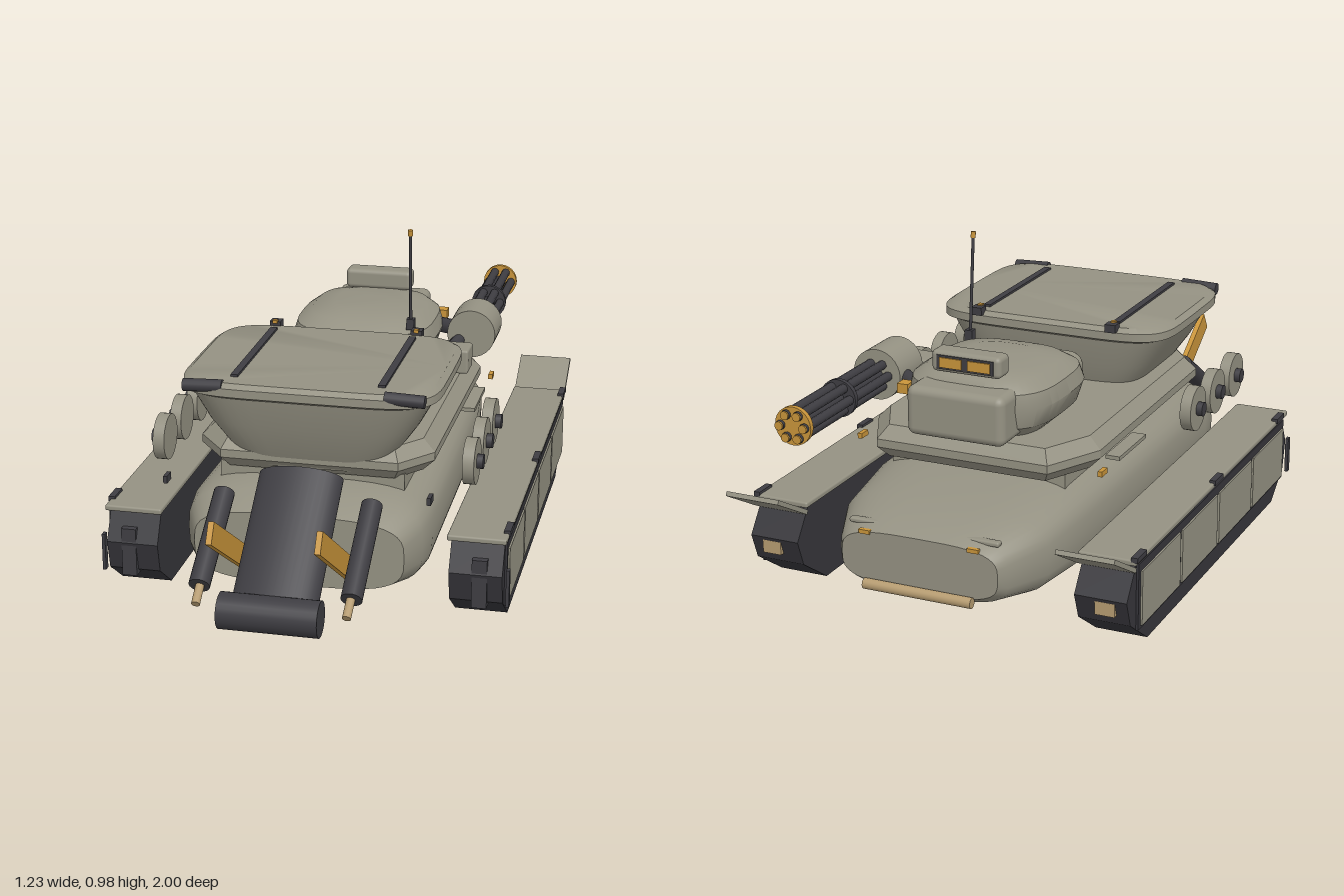
import * as THREE from 'three';
import { toCreasedNormals } from 'three/addons/utils/BufferGeometryUtils.js';
import { RoundedBoxGeometry } from 'three/addons/geometries/RoundedBoxGeometry.js';

const paint = (name, color) => {
  const m = new THREE.MeshStandardMaterial({ color });
  m.name = name;
  return m;
};

// Superellipse loft along z; rows are [z, halfWidth, halfHeight, centreY]
function loft(rows, power, sides = 40) {
  const pos = [], idx = [];
  const bend = v => Math.sign(v) * Math.abs(v) ** (2 / power);
  for (const [z, a, b, c] of rows)
    for (let j = 0; j < sides; j++) {
      const t = (j / sides) * Math.PI * 2;
      pos.push(a * bend(Math.cos(t)), c + b * bend(Math.sin(t)), z);
    }
  for (let i = 0; i < rows.length - 1; i++)
    for (let j = 0; j < sides; j++) {
      const k = (j + 1) % sides, p = i * sides, q = p + sides;
      idx.push(p + j, p + k, q + k, p + j, q + k, q + j);
    }
  const last = (rows.length - 1) * sides;
  for (let j = 1; j < sides - 1; j++) {
    idx.push(0, j + 1, j);
    idx.push(last, last + j, last + j + 1);
  }
  const g = new THREE.BufferGeometry();
  g.setAttribute('position', new THREE.Float32BufferAttribute(pos, 3));
  g.setIndex(idx);
  return toCreasedNormals(g, 0.6);
}

export function createModel() {
  const group = new THREE.Group();
  const hullGrey = paint('hullGrey', 0x949182);
  const dark = paint('darkMetal', 0x3e3d42);
  const trackBlack = paint('trackBlack', 0x36353a);
  const gold = paint('gold', 0xc8943a);
  const tan = paint('tanMetal', 0xb59b70);

  const add = (name, geo, mat, x = 0, y = 0, z = 0) => {
    const m = new THREE.Mesh(geo, mat);
    m.name = name;
    m.position.set(x, y, z);
    group.add(m);
    return m;
  };
  const box = (name, mat, w, h, d, x, y, z) => add(name, new THREE.BoxGeometry(w, h, d), mat, x, y, z);
  const rounded = (name, mat, w, h, d, r, x, y, z) => add(name, new RoundedBoxGeometry(w, h, d, 3, r), mat, x, y, z);
  // Cylinder or bar running from point a to point b
  const between = (name, geoFor, mat, a, b) => {
    const A = new THREE.Vector3(...a), B = new THREE.Vector3(...b), dir = B.clone().sub(A);
    const m = add(name, geoFor(dir.length()), mat);
    m.position.copy(A).add(B).multiplyScalar(0.5);
    m.quaternion.setFromUnitVectors(new THREE.Vector3(0, 1, 0), dir.normalize());
    return m;
  };
  const rod = (name, r, mat, a, b, sides = 20) =>
    between(name, l => new THREE.CylinderGeometry(r, r, l, sides), mat, a, b);

  // Hull
  add('hull', loft([
    [-0.91, 0.245, 0.08, 0.21], [-0.88, 0.265, 0.1, 0.21], [-0.74, 0.325, 0.13, 0.215],
    [-0.5, 0.353, 0.151, 0.223], [0.43, 0.367, 0.153, 0.223], [0.52, 0.355, 0.142, 0.222], [0.6, 0.315, 0.11, 0.21],
  ], 3.4), hullGrey);
  rounded('noseStrip', hullGrey, 0.47, 0.015, 0.025, 0.006, 0, 0.3, -0.87);
  rod('towBar', 0.016, tan, [-0.17, 0.13, -0.92], [0.17, 0.13, -0.92]);

  // Upper deck with bevelled edge
  const deck = new THREE.Shape([
    [-0.25, -0.43], [0.25, -0.43], [0.32, -0.34], [0.325, 0.45], [0.25, 0.6], [-0.25, 0.6], [-0.325, 0.45], [-0.32, -0.34],
  ].map(p => new THREE.Vector2(...p)));
  add('upperDeck', new THREE.ExtrudeGeometry(deck, {
    depth: 0.025, bevelThickness: 0.037, bevelSize: 0.037, bevelSegments: 1,
  }).rotateX(-Math.PI / 2), hullGrey, 0, 0.43, 0);
  box('deckBase', hullGrey, 0.56, 0.06, 0.95, 0, 0.375, -0.05);

  // Hopper with flared sides and closed lid
  add('hopper', loft([
    [0.41, 0.21, 0.205, -0.245], [0.45, 0.245, 0.225, -0.245], [0.55, 0.315, 0.265, -0.248], [0.64, 0.365, 0.285, -0.25],
    [0.65, 0.388, 0.303, -0.25], [0.675, 0.388, 0.303, -0.25], [0.688, 0.37, 0.287, -0.25],
  ], 5.5, 56).rotateX(-Math.PI / 2), hullGrey);

  // Turret
  add('turret', loft([
    [0.49, 0.17, 0.18, 0.385], [0.53, 0.215, 0.225, 0.385], [0.59, 0.235, 0.235, 0.385],
    [0.635, 0.222, 0.225, 0.39], [0.665, 0.18, 0.19, 0.4], [0.68, 0.11, 0.13, 0.41],
  ], 3.2).rotateX(-Math.PI / 2), hullGrey);
  rounded('turretBustle', hullGrey, 0.35, 0.12, 0.2, 0.045, 0, 0.575, -0.215);
  rounded('turretFace', hullGrey, 0.31, 0.15, 0.2, 0.025, 0, 0.575, -0.58);
  rounded('sensorHousing', hullGrey, 0.22, 0.065, 0.07, 0.015, 0, 0.708, -0.565);
  box('sensorRecess', dark, 0.18, 0.042, 0.006, 0, 0.708, -0.6);
  for (const s of [-1, 1]) box('sensorWindow', gold, 0.07, 0.03, 0.006, s * 0.045, 0.708, -0.604);

  // Antenna
  box('antennaBase', dark, 0.025, 0.035, 0.025, 0.172, 0.665, -0.215);
  rod('antenna', 0.005, dark, [0.172, 0.67, -0.213], [0.174, 0.965, -0.182], 8);
  rod('antennaTip', 0.008, gold, [0.174, 0.963, -0.182], [0.174, 0.982, -0.18], 8);

  // Rotary gun
  const gx = 0.345, gy = 0.6;
  rod('gunDrum', 0.078, hullGrey, [gx, gy, -0.35], [gx, gy, -0.495], 28);
  for (let i = 0; i < 6; i++) {
    const a = (i / 6) * Math.PI * 2, x = gx + Math.cos(a) * 0.038, y = gy + Math.sin(a) * 0.038;
    rod('gunBarrel', 0.014, dark, [x, y, -0.49], [x, y, -0.995], 10);
    rod('gunMuzzle', 0.013, gold, [x, y, -0.994], [x, y, -1], 10);
  }
  rod('gunSpindle', 0.02, dark, [gx, gy, -0.49], [gx, gy, -0.98], 12);
  rod('gunCollar', 0.057, dark, [gx, gy, -0.715], [gx, gy, -0.73], 24);
  rod('gunMuzzleRing', 0.057, gold, [gx, gy, -0.97], [gx, gy, -0.985], 24);
  rod('gunMount', 0.025, dark, [0.19, 0.58, -0.51], [0.3, 0.59, -0.43], 12);
  box('gunMountLight', gold, 0.035, 0.03, 0.04, 0.215, 0.6, -0.56);
  rounded('ammunitionBox', hullGrey, 0.095, 0.078, 0.095, 0.008, 0.313, 0.552, -0.247);
  rod('ammunitionFeed', 0.02, dark, [0.28, 0.56, -0.28], [0.31, 0.58, -0.37], 10);

  // Front boom and its cross roller
  const boom = between('boom', l => new THREE.CylinderGeometry(0.125, 0.125, l, 36).scale(1, 1, 0.44), dark,
    [0, 0.13, 0.92], [0, 0.425, 0.55]);
  boom.name = 'boom';
  rod('boomRoller', 0.053, dark, [-0.145, 0.157, 0.93], [0.145, 0.157, 0.93], 24);

  // Track outline, drawn as (-z, y)
  const trackShape = new THREE.Shape([
    [-0.44, 0], [0.67, 0], [0.8, 0.09], [0.83, 0.17], [0.76, 0.265], [-0.52, 0.265], [-0.57, 0.17], [-0.55, 0.08],
  ].map(p => new THREE.Vector2(...p)));
  const trackGeo = new THREE.ExtrudeGeometry(trackShape, { depth: 0.157, bevelEnabled: false }).rotateY(Math.PI / 2);

  for (const s of [-1, 1]) {
    // Tracks, fenders and side skirts
    add('track', trackGeo, trackBlack, s > 0 ? 0.44 : -0.597);
    rounded('fender', hullGrey, 0.175, 0.018, 1.34, 0.006, s * 0.518, 0.272, -0.115);
    between('rearFlap', l => new THREE.BoxGeometry(0.173, l, 0.014), hullGrey,
      [s * 0.518, 0.25, -0.78], [s * 0.518, 0.34, -0.94]);
    box('skirtFrame', trackBlack, 0.008, 0.2, 1.28, s * 0.6, 0.16, -0.12);
    for (let i = 0; i < 4; i++)
      box('skirtPanel', hullGrey, 0.009, 0.165, 0.3, s * 0.605, 0.152, 0.355 - i * 0.316);
    for (const z of [0.47, -0.12, -0.75]) box('fenderHinge', dark, 0.02, 0.016, 0.07, s * 0.6, 0.281, z);
    box('mudGuardBar', dark, 0.01, 0.115, 0.02, s * 0.612, 0.13, 0.55);
    box('trackTensioner', dark, 0.045, 0.15, 0.04, s * 0.53, 0.14, 0.548);
    box('trackRearBlock', tan, 0.06, 0.04, 0.03, s * 0.53, 0.14, -0.812);

    // Spare road wheels
    for (const z of [0.37, 0.195, 0.02]) {
      rod('wheel', 0.07, hullGrey, [s * 0.452, 0.445, z], [s * 0.487, 0.445, z], 32);
      rod('wheelHub', 0.022, dark, [s * 0.485, 0.445, z], [s * 0.506, 0.445, z], 16);
    }

    // Boom arms and hydraulic rams
    between('boomArm', l => new THREE.BoxGeometry(0.017, l, 0.065), gold,
      [s * 0.153, 0.158, 0.585], [s * 0.153, 0.412, 0.985]);
    rod('ram', 0.031, dark, [s * 0.22, 0.375, 0.6], [s * 0.22, 0.2, 0.875]);
    rod('ramPiston', 0.013, tan, [s * 0.218, 0.2, 0.875], [s * 0.217, 0.165, 0.925], 12);

    // Lid straps, latches and corner rolls
    box('lidStrap', dark, 0.022, 0.01, 0.47, s * 0.22, 0.69, 0.24);
    box('lidLatch', dark, 0.035, 0.025, 0.035, s * 0.225, 0.69, -0.045);
    box('latchPin', gold, 0.015, 0.01, 0.015, s * 0.225, 0.702, -0.03);
    rod('cornerRoll', 0.019, dark, [s * 0.24, 0.677, 0.53], [s * 0.358, 0.673, 0.53], 14);

    // Side ledges and marker lights
    box('sideLedge', hullGrey, 0.045, 0.012, 0.21, s * 0.368, 0.405, -0.275);
    box('frontMarkerPost', dark, 0.012, 0.022, 0.04, s * 0.39, 0.41, 0.61);
    box('sideMarker', gold, 0.014, 0.016, 0.04, s * 0.39, 0.41, -0.51);
    box('noseMarker', gold, 0.035, 0.012, 0.014, s * 0.17, 0.285, -0.908);
  }
  return group;
}
